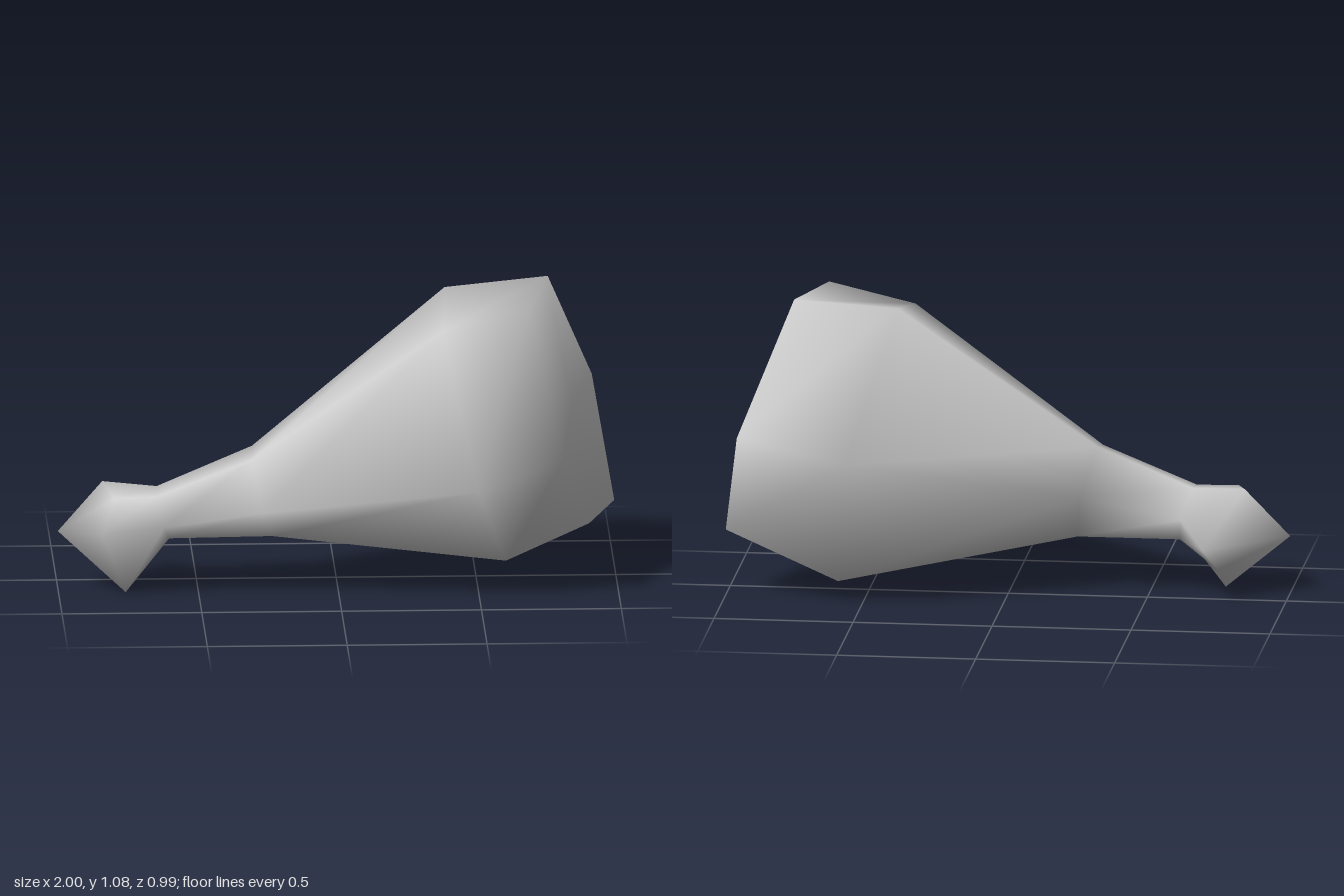
import * as THREE from 'three';

// Skin a closed surface over six-sided cross-sections, from a pointed tip to a capped end
function skin(tip, rings, capCentre) {
  const n = 6;
  const points = [tip, ...rings.flat(), capCentre];
  const last = points.length - 1;
  const at = (ring, i) => 1 + ring * n + (i % n);
  const index = [];
  for (let i = 0; i < n; i++) {
    index.push(0, at(0, i), at(0, i + 1));
    for (let r = 0; r < rings.length - 1; r++) {
      const a0 = at(r, i), b0 = at(r, i + 1), a1 = at(r + 1, i), b1 = at(r + 1, i + 1);
      index.push(a0, a1, b1, a0, b1, b0);
    }
    index.push(last, at(rings.length - 1, i + 1), at(rings.length - 1, i));
  }
  const geometry = new THREE.BufferGeometry();
  geometry.setAttribute('position', new THREE.Float32BufferAttribute(points.flat(), 3));
  geometry.setIndex(index);
  geometry.computeVertexNormals();
  return geometry;
}

export function createModel() {
  const group = new THREE.Group();
  group.name = 'drumstick';
  const grey = new THREE.MeshStandardMaterial({ color: 0xcccccc });
  grey.name = 'light grey';

  // Widest section of the meat, reused at smaller scale along the shank
  const belly = [
    [0.37, 0.98, 0.31], [0.39, 1.05, -0.06], [0.53, 0.575, -0.5],
    [0.59, 0.075, -0.195], [0.6, 0.1, 0.18], [0.49, 0.43, 0.49],
  ];
  const shrink = (cx, cy, cz, kx, ky, kz) => belly.map(([x, y, z]) =>
    [cx + (x - 0.5) * kx, cy + (y - 0.54) * ky, cz + (z - 0.05) * kz]);

  // Knuckle at the thin end
  const knuckle = [
    [-0.8, 0.36, 0.25], [-0.84, 0.385, 0.09], [-0.71, 0.2, -0.1],
    [-0.75, 0.1, 0.03], [-0.76, 0, 0.19], [-0.85, 0.25, 0.33],
  ];
  const ankle = shrink(-0.625, 0.28, 0.16, 0.2, 0.185, 0.288);
  const shank = shrink(-0.27, 0.35, 0.16, 0.33, 0.33, 0.33);

  // Rim of the broad end
  const rim = [
    [0.68, 1.055, 0.3], [0.76, 1.08, -0.09], [0.93, 0.64, -0.4],
    [1, 0.24, -0.14], [0.9, 0.22, 0.12], [0.79, 0.53, 0.45],
  ];

  const mesh = new THREE.Mesh(
    skin([-1, 0.21, 0.12], [knuckle, ankle, shank, belly, rim], [0.84, 0.64, 0.06]), grey);
  mesh.name = 'drumstickBody';
  group.add(mesh);
  return group;
}
